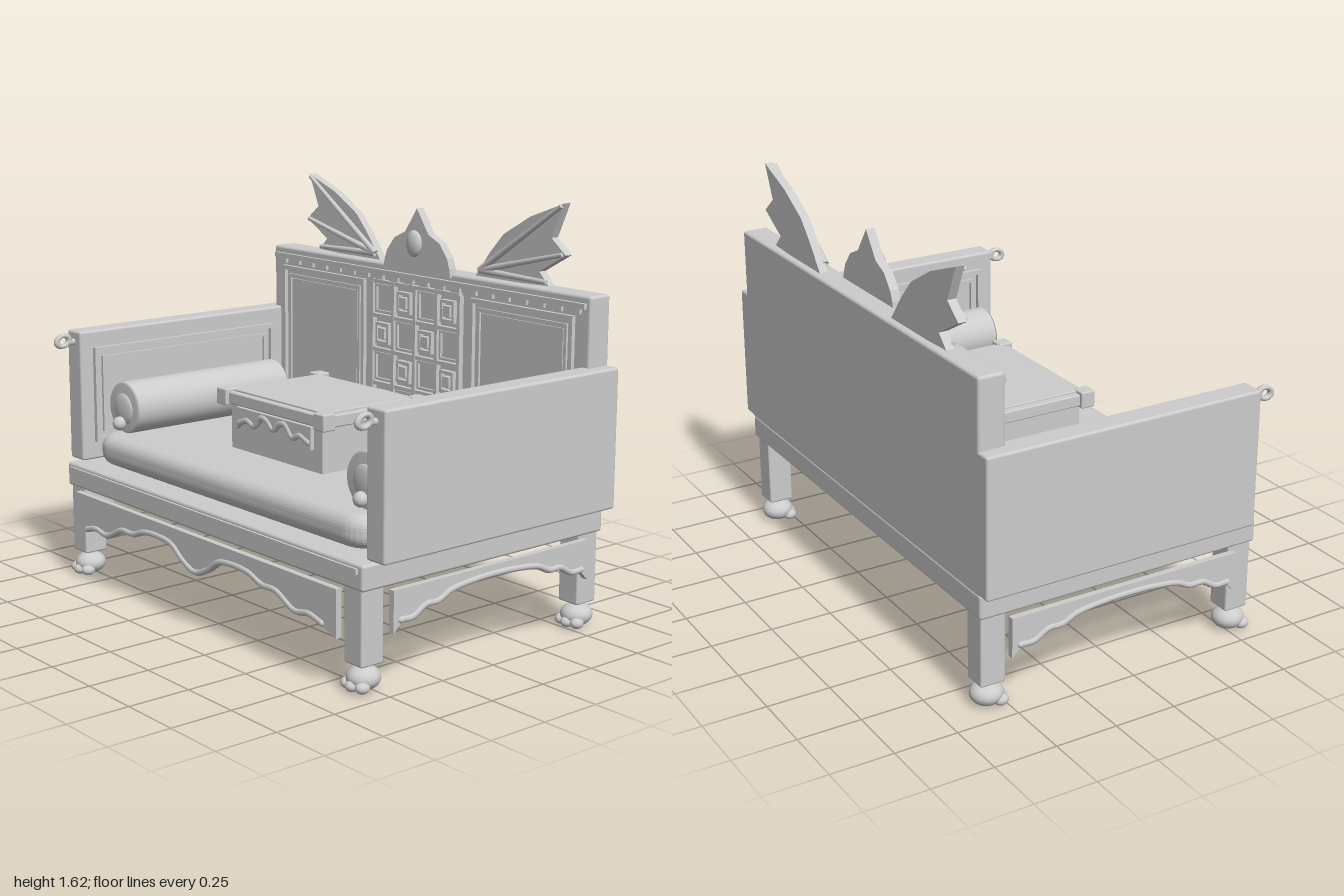
import * as THREE from 'three';
import { RoundedBoxGeometry } from 'three/addons/geometries/RoundedBoxGeometry.js';

const stone = new THREE.MeshStandardMaterial({ color: 0xcccccc });
stone.name = 'pale grey';

export function createModel() {
  const model = new THREE.Group();
  model.name = 'daybed';

  const add = (name, geo, x = 0, y = 0, z = 0, parent = model) => {
    const m = new THREE.Mesh(geo, stone);
    m.name = name;
    m.position.set(x, y, z);
    parent.add(m);
    return m;
  };
  // box given by its min and max on each axis
  const box = (name, x0, x1, y0, y1, z0, z1, r = 0, parent = model) => {
    const s = [x1 - x0, y1 - y0, z1 - z0];
    const g = r ? new RoundedBoxGeometry(...s, 3, r) : new THREE.BoxGeometry(...s);
    return add(name, g, (x0 + x1) / 2, (y0 + y1) / 2, (z0 + z1) / 2, parent);
  };
  const ball = (name, x, y, z, rx, ry, rz, parent = model) =>
    add(name, new THREE.SphereGeometry(1, 24, 16), x, y, z, parent).scale.set(rx, ry, rz);
  const plate = (name, pts, z, depth, parent = model) =>
    add(name, new THREE.ExtrudeGeometry(new THREE.Shape(pts.map(p => new THREE.Vector2(...p))),
      { depth, bevelEnabled: false }), 0, 0, z, parent);
  // rectangular moulding standing on a face that looks along +z
  const frame = (name, x0, x1, y0, y1, z, w, depth, parent = model) => {
    const rect = (T, d) => {
      const s = new T();
      s.moveTo(x0 + d, y0 + d).lineTo(x1 - d, y0 + d).lineTo(x1 - d, y1 - d).lineTo(x0 + d, y1 - d).closePath();
      return s;
    };
    const s = rect(THREE.Shape, 0);
    s.holes.push(rect(THREE.Path, w));
    return add(name, new THREE.ExtrudeGeometry(s, { depth, bevelEnabled: false }), 0, 0, z, parent);
  };
  const tube = (name, pts, z, r, parent = model) => {
    const curve = new THREE.CatmullRomCurve3(pts.map(p => new THREE.Vector3(p[0], p[1], z)));
    add(name, new THREE.TubeGeometry(curve, pts.length * 5, r, 8), 0, 0, 0, parent);
    for (const p of [pts[0], pts[pts.length - 1]]) ball(name + 'End', p[0], p[1], z, r, r, r, parent);
  };
  const mirrored = half => [...half, ...half.filter(p => p[0] !== 0).reverse().map(([x, y]) => [-x, y])];
  // apron board with a scalloped lower edge and a bead along it
  const apron = (name, half, end, top, drop, parent) => {
    const edge = mirrored(half);
    const curve = new THREE.SplineCurve(edge.map(p => new THREE.Vector2(p[0], p[1] - drop)));
    plate(name, [[-end[0], top], [-end[0], end[1]],
      ...curve.getPoints(60).map(p => [p.x, p.y]), [end[0], end[1]], [end[0], top]], 0, 0.025, parent);
    tube(name + 'Bead', edge, 0.022, 0.013, parent);
  };
  const group = (name, x = 0, y = 0, z = 0, ry = 0) => {
    const g = new THREE.Group();
    g.name = name;
    g.position.set(x, y, z);
    g.rotation.y = ry;
    model.add(g);
    return g;
  };

  // seat frame
  box('seatFrame', -0.945, 0.945, 0.385, 0.483, -0.625, 0.58, 0.012);
  box('seatFrontStrip', -0.92, 0.92, 0.447, 0.468, 0.57, 0.59);

  // legs with clawed feet
  for (const s of [-1, 1]) for (const z of [0.52, -0.563]) {
    const x = s * 0.882;
    box('leg', x - 0.049, x + 0.049, 0.105, 0.392, z - 0.051, z + 0.051, 0.008);
    ball('foot', x, 0.052, z, 0.062, 0.045, 0.064);
    for (const d of [-0.04, 0, 0.04]) ball('toe', x + d, 0.031, z + 0.05 - Math.abs(d) * 0.3, 0.024, 0.022, 0.029);
  }

  // front and side aprons
  apron('frontApron', [[-0.76, 0.237], [-0.69, 0.253], [-0.61, 0.243], [-0.5, 0.29], [-0.42, 0.292],
    [-0.34, 0.318], [-0.24, 0.324], [-0.15, 0.312], [-0.08, 0.266], [0, 0.237]],
    [0.84, 0.2], 0.38, 0.012, group('frontApronGroup', 0, 0, 0.585));
  for (const s of [-1, 1]) {
    apron('sideApron', [[-0.455, 0.268], [-0.4, 0.268], [-0.34, 0.3], [-0.28, 0.302],
      [-0.22, 0.328], [-0.1, 0.343], [0, 0.346]],
      [0.49, 0.222], 0.38, 0.012, group('sideApronGroup', s * 0.953, 0, -0.024, s * Math.PI / 2));
  }

  // back rest
  box('back', -0.945, 0.945, 0.48, 1.3, -0.63, -0.523, 0.012);
  box('corniceBand', -0.925, 0.925, 1.25, 1.272, -0.53, -0.508);
  for (let i = 0; i < 20; i++) {
    const x = -0.875 + i * (1.75 / 19);
    box('corniceTooth', x - 0.026, x + 0.026, 1.23, 1.252, -0.53, -0.51);
  }
  for (const s of [-1, 1]) {
    const [a, b] = s < 0 ? [-0.87, -0.32] : [0.32, 0.87];
    frame('backPanelFrame', a, b, 0.64, 1.22, -0.53, 0.018, 0.024);
    frame('backPanelInnerFrame', a + 0.035, b - 0.035, 0.68, 1.185, -0.53, 0.014, 0.016);
    box('backPanelField', a + 0.055, b - 0.055, 0.7, 1.165, -0.53, -0.517);
  }

  // lattice of bars and nested squares
  for (let i = 0; i < 5; i++) {
    const x = -0.262 + i * 0.131;
    box('latticeUpright', x - 0.008, x + 0.008, 0.62, 1.222, -0.53, -0.501);
  }
  for (let j = 0; j < 5; j++) {
    const y = 1.222 - j * 0.144;
    box('latticeBar', -0.262, 0.262, y - 0.008, y + 0.008, -0.53, -0.503);
  }
  for (let r = 0; r < 4; r++) for (let c = 0; c < 4; c++) {
    const x = -0.1965 + c * 0.131, y = 1.15 - r * 0.144;
    if ((r + c) % 2) {
      frame('latticeRosette', x - 0.04, x + 0.04, y - 0.045, y + 0.045, -0.53, 0.012, 0.03);
      box('latticeRosetteCore', x - 0.02, x + 0.02, y - 0.022, y + 0.022, -0.53, -0.497);
    } else {
      frame('latticeCell', x - 0.057, x + 0.057, y - 0.06, y + 0.06, -0.53, 0.01, 0.018);
    }
  }

  // crest with an oval jewel
  plate('crest', mirrored([[-0.2, 1.285], [-0.195, 1.32], [-0.18, 1.36], [-0.135, 1.415], [-0.07, 1.445], [0, 1.545]]), -0.548, 0.036);
  ball('crestJewel', 0, 1.403, -0.498, 0.042, 0.055, 0.022);

  // webbed wings with ribs
  const wing = [[0.755, 1.625], [0.58, 1.56], [0.44, 1.48], [0.37, 1.405], [0.28, 1.29], [0.685, 1.305],
    [0.635, 1.355], [0.77, 1.43], [0.695, 1.49]];
  for (const s of [-1, 1]) {
    plate('wing', wing.map(([x, y]) => [s * x, y]), -0.603, 0.035);
    for (const [x, y] of [[0.745, 1.615], [0.755, 1.432], [0.675, 1.318]]) {
      const len = Math.hypot(x - 0.315, y - 1.325);
      const rib = add('wingRib', new THREE.CylinderGeometry(0.009, 0.014, len, 10), s * (x + 0.315) / 2, (y + 1.325) / 2, -0.565);
      rib.rotation.z = -s * Math.atan2(x - 0.315, y - 1.325);
    }
  }

  // arm rests, inner panels and ring ornaments
  for (const s of [-1, 1]) {
    const name = s > 0 ? 'leftArm' : 'rightArm';
    add(name, new RoundedBoxGeometry(0.098, 0.545, 1.16, 3, 0.01), s * 0.951, 0.7575, -0.05);
    const panel = group(name + 'Panel', s * 0.905, 0, 0, -s * Math.PI / 2);
    frame('armFrame', -0.47, 0.47, 0.56, 0.96, 0, 0.02, 0.022, panel);
    frame('armInnerFrame', -0.43, 0.43, 0.6, 0.92, 0, 0.014, 0.015, panel);
    const ring = add('armRing', new THREE.TorusGeometry(0.029, 0.013, 10, 24), s * 0.951, 0.993, 0.583);
    ring.rotation.set(0.25, Math.PI / 2, 0, 'XYZ');
    ring.scale.y = 0.75;
    const stub = add('armRingStub', new THREE.CylinderGeometry(0.013, 0.013, 0.035, 10), s * 0.951, 0.985, 0.54);
    stub.rotation.x = Math.PI / 2;
  }

  // mattress: rounded outline with a soft rolled edge
  const w = 0.805, d = 0.44, c = 0.06;
  const outline = new THREE.Shape();
  outline.moveTo(-w + c, -d).lineTo(w - c, -d).quadraticCurveTo(w, -d, w, -d + c)
    .lineTo(w, d - c).quadraticCurveTo(w, d, w - c, d).lineTo(-w + c, d)
    .quadraticCurveTo(-w, d, -w, d - c).lineTo(-w, -d + c).quadraticCurveTo(-w, -d, -w + c, -d);
  const mattress = add('mattress', new THREE.ExtrudeGeometry(outline,
    { depth: 0.02, bevelThickness: 0.054, bevelSize: 0.052, bevelSegments: 8, curveSegments: 8 }), 0, 0.54, 0.018);
  mattress.rotation.x = -Math.PI / 2;

  // bolsters with end discs and tassel knobs
  const profile = [[0, -0.395], [0.1, -0.395], [0.108, -0.385], [0.108, 0.385], [0.1, 0.395], [0, 0.395]]
    .map(p => new THREE.Vector2(...p));
  for (const s of [-1, 1]) {
    const x = s * 0.765;
    add('bolster', new THREE.LatheGeometry(profile, 40), x, 0.72, 0.02).rotation.x = Math.PI / 2;
    ball('bolsterEndDisc', x, 0.715, 0.414, 0.066, 0.066, 0.016);
    ball('bolsterKnob', x, 0.657, 0.436, 0.029, 0.029, 0.029);
  }

  // low table
  box('tableBody', -0.285, 0.285, 0.605, 0.8, -0.245, 0.215);
  box('tableTop', -0.322, 0.322, 0.797, 0.845, -0.267, 0.237, 0.006);
  box('tableTopPanel', -0.295, 0.295, 0.83, 0.853, -0.24, 0.21, 0.004);
  for (const x of [-0.305, 0.305]) for (const z of [-0.253, 0.223])
    box('tableCorner', x - 0.032, x + 0.032, 0.79, 0.857, z - 0.03, z + 0.03, 0.006);
  const tableApron = group('tableApronGroup', 0, 0, 0.212);
  apron('tableApron', [[-0.215, 0.728], [-0.165, 0.745], [-0.12, 0.73], [-0.075, 0.772], [-0.035, 0.765], [0, 0.737]],
    [0.235, 0.7], 0.79, 0.01, tableApron);
  tableApron.scale.z = 0.8;

  return model;
}
